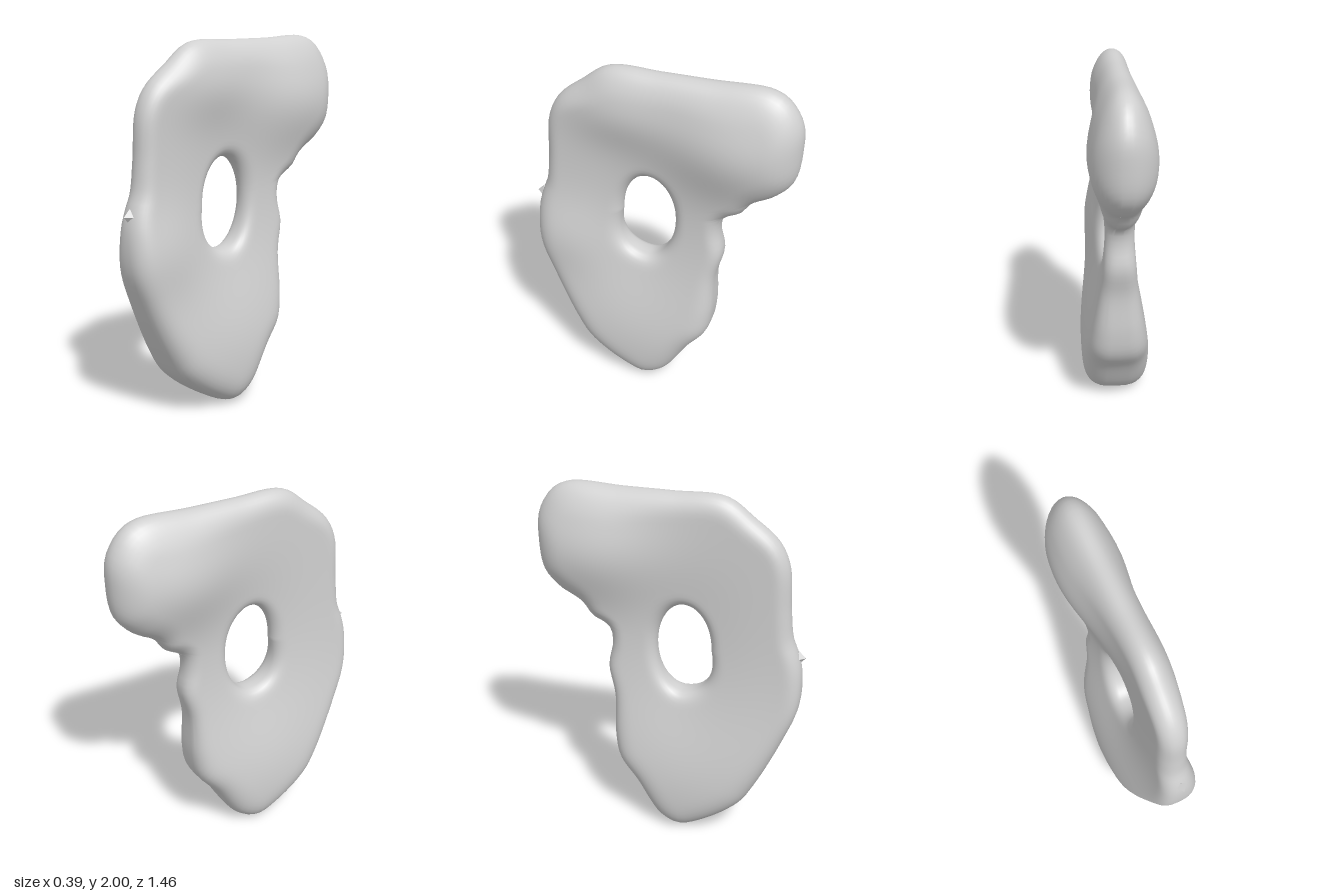
import * as THREE from 'three';

// side outline as [z, y], running from the top over the back, base and front
const OUTLINE = [
  [0.285, 1.98], [0.0, 1.988], [-0.26, 1.99], [-0.55, 1.995], [-0.645, 1.95], [-0.72, 1.83],
  [-0.73, 1.69], [-0.705, 1.51], [-0.62, 1.41], [-0.5, 1.335], [-0.445, 1.26], [-0.35, 1.2],
  [-0.333, 1.11], [-0.355, 0.97], [-0.32, 0.8], [-0.317, 0.55], [-0.29, 0.41], [-0.19, 0.275],
  [-0.05, 0.06], [0.07, 0.004], [0.22, 0.06], [0.42, 0.21], [0.5, 0.335], [0.64, 0.64],
  [0.71, 0.84], [0.715, 1.05], [0.69, 1.16], [0.66, 1.24], [0.64, 1.4], [0.62, 1.645],
  [0.56, 1.77], [0.43, 1.88],
];
const CZ = 0.07, CY = 1.12; // hole centre

// oval hole by angle, a little wider at the lower front
function holePoint(a) {
  const c = Math.cos(a), s = Math.sin(a);
  return new THREE.Vector2(CZ + 0.152 * c - 0.055 * Math.max(0, c) * Math.min(0, s), CY + 0.252 * s);
}

const bump = (z, y, cz, cy, sz, sy) =>
  Math.exp(-0.5 * (((z - cz) / sz) ** 2 + ((y - cy) / sy) ** 2));

// half thickness: thin slab swelling into the head and the lower body, thinning
// towards the hole, with a fuller shoulder and front bulge on the left
function halfThickness(z, y, side) {
  let h = 0.077 + 0.098 * bump(z, y, -0.42, 1.64, 0.27, 0.19)
    + 0.118 * bump(z, y, 0.14, 0.27, 0.58, 0.4);
  if (side > 0) h += 0.042 * bump(z, y, 0.58, 0.92, 0.2, 0.16) + 0.045 * bump(z, y, 0.2, 1.75, 0.19, 0.13);
  return h * (1 - 0.42 * bump(z, y, CZ, CY, 0.2, 0.32));
}

function bodyGeometry() {
  const N = 144, FINE = 5, H = 28, M = H * 2;
  const curve = new THREE.CatmullRomCurve3(
    OUTLINE.map(([z, y]) => new THREE.Vector3(z, y, 0)), true, 'centripetal');
  const outer = curve.getSpacedPoints(N * FINE).slice(0, -1).map(p => new THREE.Vector2(p.x, p.y));
  const inner = outer.map(p => holePoint(Math.atan2((p.y - CY) / 0.252, (p.x - CZ) / 0.152)));
  const edges = outer.concat(inner);
  const pos = [], index = [], p = new THREE.Vector2();

  for (let i = 0; i < N; i++) {
    for (let j = 0; j < M; j++) {
      // each section runs hole -> rim on the left, then back on the right
      const v = (j / M) * Math.PI * 2;
      const side = j === 0 || j === H ? 0 : j < H ? 1 : -1;
      p.lerpVectors(inner[i * FINE], outer[i * FINE], (1 - Math.cos(v)) / 2);
      let x = 0;
      if (side) {
        let d2 = Infinity;
        for (const e of edges) d2 = Math.min(d2, p.distanceToSquared(e));
        // round the edge: blunt low down, more pointed along the top
        const h = halfThickness(p.x, p.y, side);
        const n = 3 - THREE.MathUtils.smoothstep(p.y, 0.7, 1.25);
        const r = (1 + 0.4 * THREE.MathUtils.smoothstep(p.y, 1.7, 1.95)) * h;
        const t = 1 - Math.min(1, Math.sqrt(d2) / r);
        x = side * h * (1 - t ** n) ** (1 / n);
      }
      pos.push(x, p.y, p.x);
      const k = (j + 1) % M, m = (i + 1) % N;
      const a = i * M + j, b = m * M + j, c = m * M + k, d = i * M + k;
      index.push(a, b, d, b, c, d);
    }
  }
  const g = new THREE.BufferGeometry();
  g.setAttribute('position', new THREE.Float32BufferAttribute(pos, 3));
  g.setIndex(index);
  g.computeVertexNormals();
  return g;
}

export function createModel() {
  const grey = new THREE.MeshStandardMaterial({ color: 0xd0d0d0 });
  grey.name = 'stoneGrey';
  const model = new THREE.Group();
  model.name = 'piercedSculpture';

  const body = new THREE.Mesh(bodyGeometry(), grey);
  body.name = 'body';
  model.add(body);

  // small pointed nub on the front edge
  const nub = new THREE.Mesh(new THREE.OctahedronGeometry(0.04), grey);
  nub.name = 'frontNub';
  nub.scale.set(0.8, 1, 1);
  nub.position.set(0.01, 1.13, 0.69);
  model.add(nub);
  return model;
}
